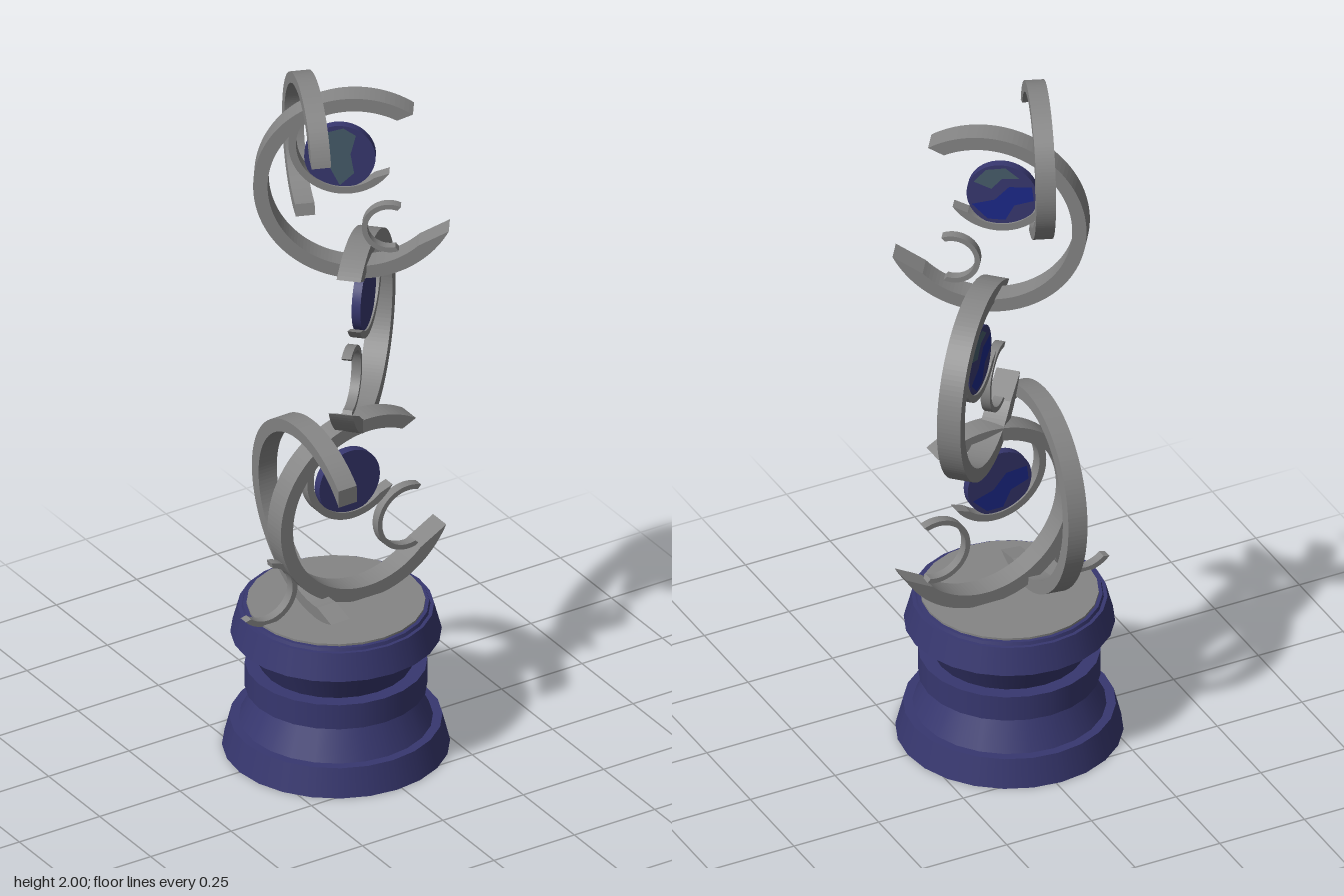
import * as THREE from 'three';

const mat = (name, color) => {
  const m = new THREE.MeshStandardMaterial({ color });
  m.name = name;
  return m;
};
const rad = THREE.MathUtils.degToRad;

export function createModel() {
  const grey = mat('grey metal', 0x858585);
  const navy = mat('navy', 0x37376f);
  const blue = mat('deep blue', 0x1c2888);
  const slate = mat('slate', 0x465c6a);

  const model = new THREE.Group();
  model.name = 'crescentSculpture';

  const add = (parent, name, geometry, material) => {
    const mesh = new THREE.Mesh(geometry, material);
    mesh.name = name;
    parent.add(mesh);
    return mesh;
  };

  // Open band in the local xy plane, from angle a0 to a1 (degrees).
  // s0 and s1 slant the cut at each end; mirror flips it in x.
  function band(parent, name, { x = 0, y = 0, r, t, depth, a0, a1, s0 = 0, s1 = 0 }, mirror = false) {
    if (mirror) [x, a0, a1, s0, s1] = [-x, 180 - a1, 180 - a0, s1, s0];
    const shape = new THREE.Shape();
    shape.absarc(0, 0, r, rad(a0), rad(a1), false);
    shape.absarc(0, 0, r - t, rad(a1 - s1), rad(a0 + s0), true);
    shape.closePath();
    const geo = new THREE.ExtrudeGeometry(shape, { depth, bevelEnabled: false, curveSegments: 48 });
    geo.translate(x, y, -depth / 2);
    return add(parent, name, geo, grey);
  }

  // Group standing upright and turned about y
  function turned(name, x, y, z, degrees, lean = 0) {
    const g = new THREE.Group();
    g.name = name;
    g.position.set(x, y, z);
    g.rotation.set(lean, rad(degrees), 0, 'YXZ');
    model.add(g);
    return g;
  }

  // Pedestal: stacked tapered rings
  const pedestal = new THREE.Group();
  pedestal.name = 'pedestal';
  pedestal.position.x = -0.015;
  model.add(pedestal);
  const tiers = [
    ['foot', 0, 0.3, 0.08, 0.28],
    ['lowerNeck', 0.08, 0.255, 0.18, 0.205],
    ['middleRing', 0.175, 0.24, 0.248, 0.24],
    ['upperNeck', 0.245, 0.2, 0.345, 0.25],
    ['collar', 0.34, 0.278, 0.415, 0.258],
    ['rim', 0.41, 0.25, 0.424, 0.245],
  ];
  for (const [name, y0, r0, y1, r1] of tiers) {
    const geo = new THREE.CylinderGeometry(r1, r0, y1 - y0, 24);
    geo.translate(0, (y0 + y1) / 2, 0);
    add(pedestal, name, geo, navy).material.flatShading = false;
  }
  const plate = new THREE.CylinderGeometry(0.235, 0.235, 0.012, 24);
  plate.translate(0, 0.424, 0);
  add(pedestal, 'topPlate', plate, grey);

  // Coloured patch outlines in units of the disc radius
  const outlines = {
    land: [[-0.9, 0.2], [-0.5, 0.75], [0.1, 0.93], [0.45, 0.7], [0.3, 0.1], [0.4, -0.5], [0, -0.9], [-0.3, -0.3]],
    sea: [[-0.85, -0.35], [-0.2, -0.15], [0.2, 0.3], [0.85, 0.35], [0.9, -0.1], [0.35, -0.3], [0.1, -0.8], [-0.4, -0.8]],
    cap: [[-0.8, 0.4], [-0.3, 0.2], [0, 0.55], [0.5, 0.6], [0.1, 0.92], [-0.45, 0.82]],
  };

  // Disc with thin patches: side +1 is the front, -1 the back
  function disc(parent, x, y, patches) {
    const g = new THREE.Group();
    g.name = 'disc';
    g.position.set(x, y, 0);
    parent.add(g);
    const r = 0.094, depth = 0.024;
    add(g, 'discBody', new THREE.CylinderGeometry(r, r, depth, 40).rotateX(Math.PI / 2), navy);
    for (const [key, material, side] of patches) {
      const pts = outlines[key].map(([a, b]) => new THREE.Vector2(a * r, b * r));
      const p = add(g, 'discPatch', new THREE.ShapeGeometry(new THREE.Shape(pts)), material);
      p.position.z = side * (depth / 2 + 0.0015);
      if (side < 0) p.rotation.y = Math.PI;
    }
  }

  // Three stacked tiers: big ring, cradle, disc and small crescent
  const backPatches = [['sea', blue, -1], ['cap', slate, -1]];
  const tiersUp = [
    { name: 'lowerTier', at: [0.065, 0.698, 0], turn: 0, mirror: false, small: [0.137, -0.078, 0.095],
      patches: [['sea', blue, -1]] },
    { name: 'middleTier', at: [0.11, 1.175, -0.075], turn: 45, mirror: true, small: [0.137, -0.078, 0.095],
      patches: backPatches },
    { name: 'upperTier', at: [0.075, 1.648, -0.038], turn: -35, mirror: false, small: [0.085, -0.13, 0.072],
      patches: [['land', slate, 1], ...backPatches] },
  ];
  for (const { name, at, turn, mirror, small, patches } of tiersUp) {
    const g = turned(name, ...at, turn);
    band(g, 'bigRing', { r: 0.272, t: 0.038, depth: 0.065, a0: 57, a1: 333, s0: 6, s1: 19 }, mirror);
    band(g, 'cradle', { x: -0.035, y: 0.12, r: 0.145, t: 0.02, depth: 0.034, a0: 125, a1: 326, s1: 16 }, mirror);
    band(g, 'smallCrescent',
      { x: small[0], y: small[1], r: small[2], t: 0.014, depth: 0.026, a0: 65, a1: 290, s0: 4, s1: 4 }, mirror);
    disc(g, mirror ? 0.035 : -0.045, 0.083, patches);
  }

  // Crosswise ring beside the lower tier
  const cross = turned('crossTier', -0.1, 0.714, 0.025, -93.4, 0.06);
  band(cross, 'crossRing', { r: 0.284, t: 0.036, depth: 0.055, a0: 44, a1: 294, s0: -8, s1: 14 });

  // Small crescent resting at the side of the pedestal top
  const side = turned('sideTier', -0.235, 0.518, 0, 0);
  band(side, 'sideCrescent', { r: 0.092, t: 0.015, depth: 0.026, a0: -138, a1: 82, s0: 6, s1: 4 });

  // Crowning arc
  const crown = turned('crownTier', -0.077, 1.79, -0.045, -111.5);
  band(crown, 'crownArc', { r: 0.21, t: 0.03, depth: 0.052, a0: 16, a1: 265, s0: 8, s1: 4 });

  return model;
}
